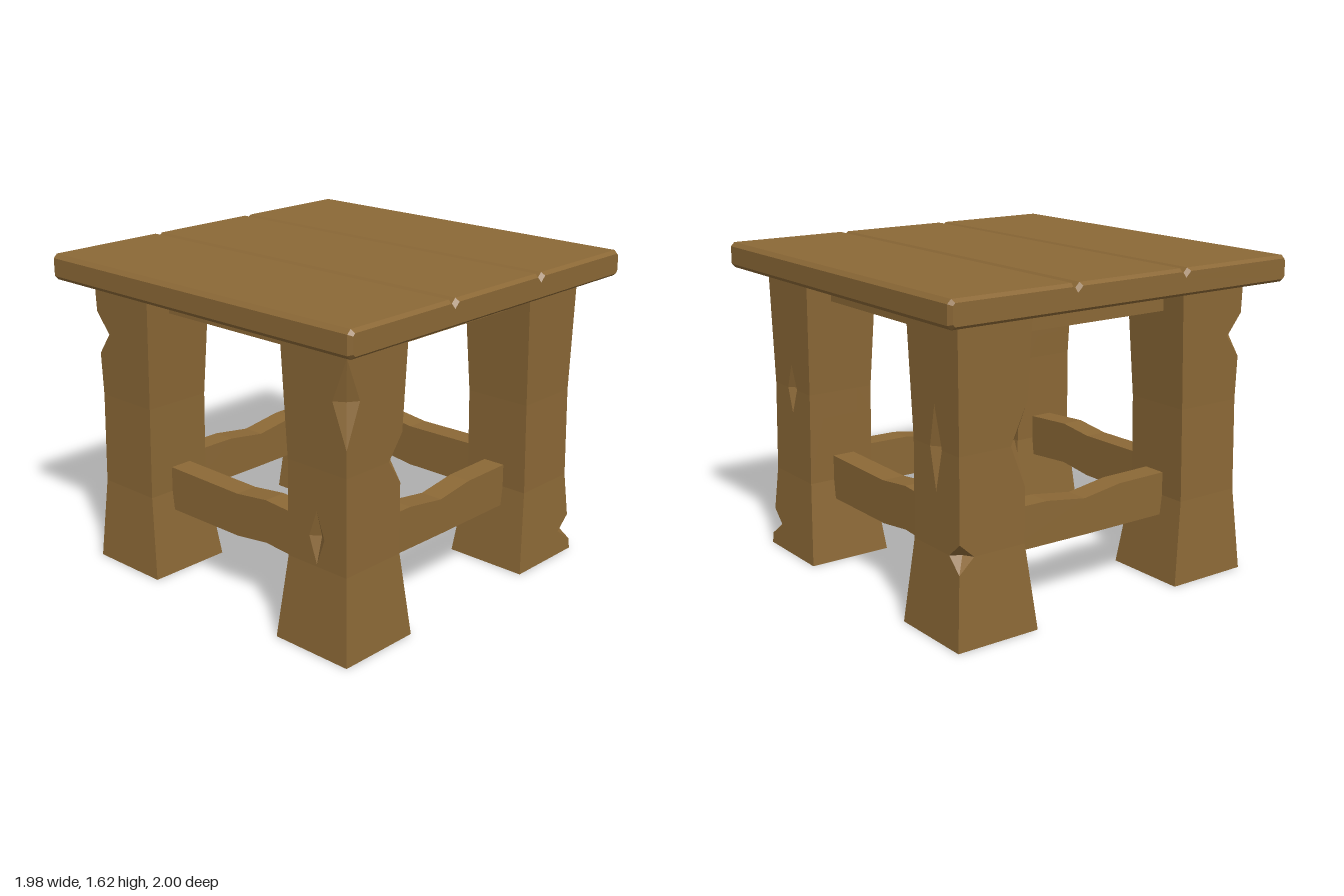
import * as THREE from 'three';

const wood = new THREE.MeshStandardMaterial({ color: 0x8b6836 });
wood.name = 'brown wood';

function add(parent, name, geometry) {
  const mesh = new THREE.Mesh(geometry, wood);
  mesh.name = name;
  parent.add(mesh);
  return mesh;
}

const shapeOf = (points) => new THREE.Shape(points.map(([x, y]) => new THREE.Vector2(x, y)));

// Table top: one slab with chamfered edges and two V grooves between the planks
function topGeometry() {
  const w = 0.99, lo = 1.5, hi = 1.63, c = 0.02, g = 0.32, n = 0.022;
  const shape = shapeOf([
    [-w + c, lo], [w - c, lo], [w, lo + c], [w, hi - c], [w - c, hi],
    [g + n, hi], [g, hi - n], [g - n, hi],
    [-g + n, hi], [-g, hi - n], [-g - n, hi],
    [-w + c, hi], [-w, hi - c], [-w, lo + c],
  ]);
  const geo = new THREE.ExtrudeGeometry(shape, {
    depth: 1.96, bevelEnabled: true, bevelSegments: 1,
    bevelThickness: 0.02, bevelSize: 0.015, bevelOffset: -0.015,
  });
  return geo.translate(0, 0, -0.98);
}

// Leg outline by height: [y, outer, inner]
const PROFILE = [[0.005, 0.878, 0.432], [0.43, 0.845, 0.485], [0.9, 0.838, 0.48], [1.505, 0.85, 0.45]];
const FRACTIONS = [0, 0.22, 0.37, 0.5, 0.63, 0.78];

function spanAt(y) {
  let i = 0;
  while (i < PROFILE.length - 2 && y > PROFILE[i + 1][0]) i++;
  const [a, b] = [PROFILE[i], PROFILE[i + 1]];
  const t = (y - a[0]) / (b[0] - a[0]);
  return [a[1] + (b[1] - a[1]) * t, a[2] + (b[2] - a[2]) * t];
}

// Hewn leg: rings of 24 points; every third point is a corner or face middle
// that a chip [point, y, half height, depth] pushes inward
function legGeometry(sx, sz, chips) {
  const heights = new Set(PROFILE.map((p) => p[0]));
  for (const [, y, h] of chips) [y - h, y, y + h].forEach((v) => heights.add(+v.toFixed(3)));
  const ys = [...heights].sort((a, b) => a - b);

  const rings = ys.map((y) => {
    const [o, i] = spanAt(y);
    const corners = [[o, o], [i, o], [i, i], [o, i]];
    const mid = (o + i) / 2;
    const ring = [];
    for (let s = 0; s < 4; s++) {
      const a = corners[s], b = corners[(s + 1) % 4];
      for (const f of FRACTIONS) {
        let u = a[0] + (b[0] - a[0]) * f, v = a[1] + (b[1] - a[1]) * f;
        const chip = chips.find((c) => c[0] === ring.length && Math.abs(c[1] - y) < 0.001);
        if (chip) {
          const k = 1 - chip[3] / Math.hypot(u - mid, v - mid);
          u = mid + (u - mid) * k;
          v = mid + (v - mid) * k;
        }
        ring.push([u * sx, y, v * sz]);
      }
    }
    return ring;
  });

  const pos = [];
  const flip = sx * sz < 0;
  const tri = (a, b, c) => pos.push(...a, ...(flip ? c : b), ...(flip ? b : c));
  for (let r = 0; r < rings.length - 1; r++) {
    const chipBelow = chips.some((c) => Math.abs(c[1] - ys[r]) < 0.001);
    for (let j = 0; j < 24; j++) {
      const n = (j + 1) % 24;
      const a = rings[r][j], b = rings[r][n], c = rings[r + 1][n], d = rings[r + 1][j];
      // diagonals run from the chip's side points to its upper and lower tips
      if ((j % 3 === 0) === chipBelow) {
        tri(a, d, b);
        tri(b, d, c);
      } else {
        tri(a, c, b);
        tri(a, d, c);
      }
    }
  }
  const bottom = rings[0], top = rings[rings.length - 1];
  for (let j = 1; j < 23; j++) {
    tri(bottom[0], bottom[j], bottom[j + 1]);
    tri(top[0], top[j + 1], top[j]);
  }
  const geo = new THREE.BufferGeometry();
  geo.setAttribute('position', new THREE.Float32BufferAttribute(pos, 3));
  geo.computeVertexNormals();
  return geo;
}

// Rail: side outline extruded to its thickness, centred on the origin
function railGeometry(points, thickness = 0.12) {
  const geo = new THREE.ExtrudeGeometry(shapeOf(points), { depth: thickness, bevelEnabled: false });
  return geo.translate(0, 0, -thickness / 2);
}

export function createModel() {
  const group = new THREE.Group();
  group.name = 'rusticTable';

  add(group, 'tableTop', topGeometry());

  // Legs, each with its own chips
  const legs = [
    ['frontLeftLeg', 1, 1, [[0, 0.13, 0.07, 0.065], [21, 0.9, 0.13, 0.035]]],
    ['frontRightLeg', -1, 1, [[6, 0.9, 0.12, 0.08], [0, 1.24, 0.21, 0.045], [21, 0.57, 0.13, 0.035]]],
    ['backLeftLeg', 1, -1, [[0, 0.43, 0.07, 0.07], [21, 0.9, 0.2, 0.035], [6, 0.9, 0.2, 0.07]]],
    ['backRightLeg', -1, -1, [[0, 1.23, 0.11, 0.08]]],
  ];
  for (const [name, sx, sz, chips] of legs) add(group, name, legGeometry(sx, sz, chips));

  // Wavy stretchers low down and straight aprons under the top
  const sagging = [
    [-0.52, 0.335], [0, 0.33], [0.52, 0.33], [0.52, 0.55],
    [0.2, 0.547], [-0.02, 0.515], [-0.25, 0.548], [-0.52, 0.55],
  ];
  const bowed = [
    [-0.52, 0.33], [0, 0.33], [0.2, 0.355], [0.52, 0.33], [0.52, 0.555],
    [0.2, 0.577], [0, 0.553], [-0.52, 0.56],
  ];
  const apron = [[-0.52, 1.372], [0.52, 1.372], [0.52, 1.505], [-0.52, 1.505]];
  const sides = [
    ['front', 0, sagging], ['left', Math.PI / 2, bowed],
    ['back', Math.PI, sagging], ['right', -Math.PI / 2, bowed],
  ];
  for (const [side, angle, outline] of sides) {
    const frame = new THREE.Group();
    frame.name = side + 'Rails';
    frame.rotation.y = angle;
    add(frame, side + 'Stretcher', railGeometry(outline)).position.z = 0.65;
    add(frame, side + 'Apron', railGeometry(apron)).position.z = 0.65;
    group.add(frame);
  }
  return group;
}
